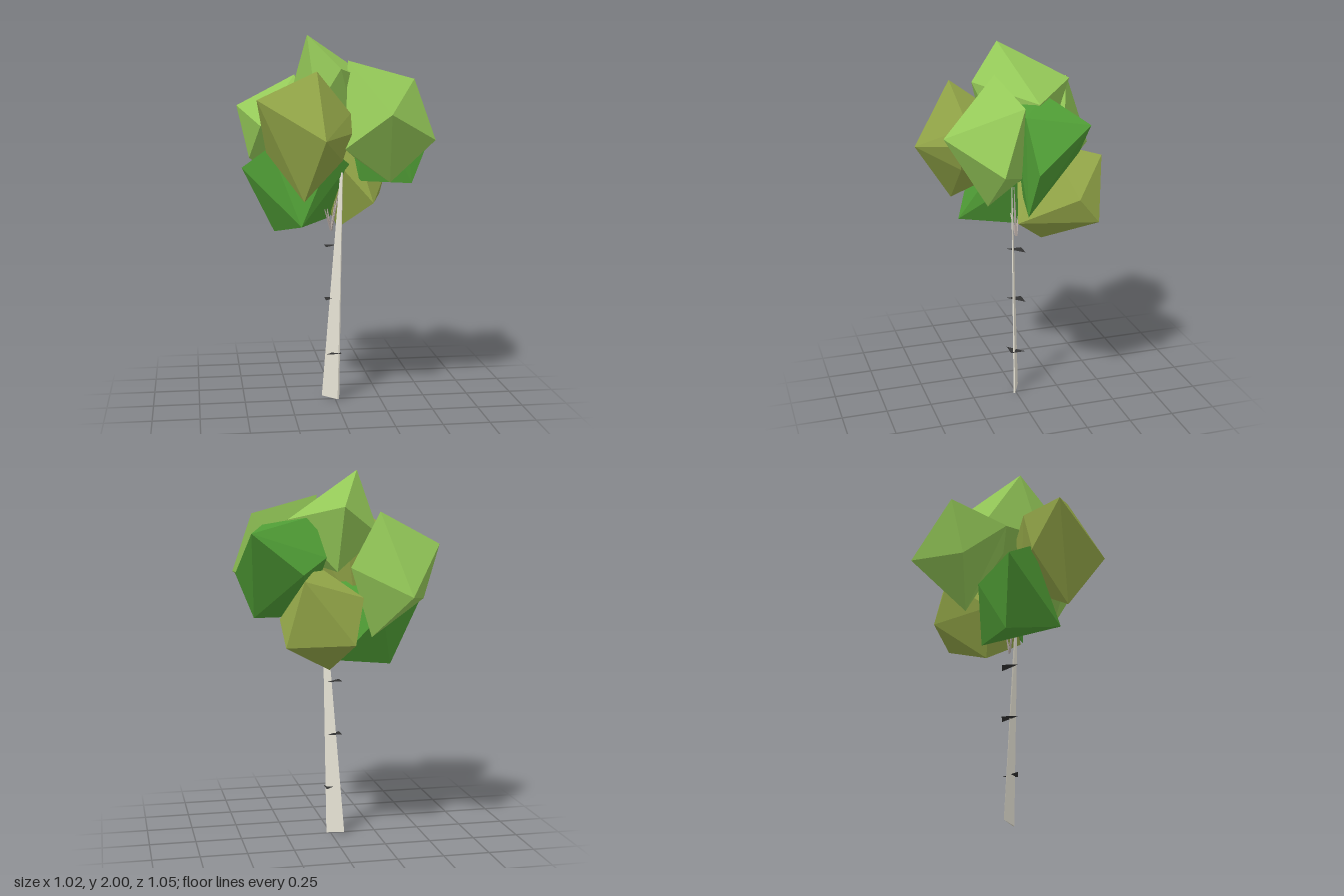
import * as THREE from 'three';
import { ConvexGeometry } from 'three/addons/geometries/ConvexGeometry.js';

const mat = (color, extra = {}) => new THREE.MeshStandardMaterial({ color, flatShading: true, ...extra });
const lime = mat(0x94c858), olive = mat(0x93a648), green = mat(0x4f9c35);
const bark = mat(0xe8e4d6), twigBark = mat(0xb8aca6);
const dark = mat(0x333333, { side: THREE.DoubleSide });

export function createModel() {
  const tree = new THREE.Group();
  tree.name = 'tree';

  const add = (name, geometry, material) => {
    const mesh = new THREE.Mesh(geometry, material);
    mesh.name = name;
    tree.add(mesh);
    return mesh;
  };
  // Faceted convex lump spanned by its corners
  const lump = (name, material, ...corners) =>
    add(name, new ConvexGeometry(corners.map((c) => new THREE.Vector3(...c))), material);

  // Leaf clumps
  lump('topLeaves', lime,
    [-0.156, 2.0, 0.056], [-0.012, 1.81, -0.3], [0.242, 1.74, -0.053], [0, 1.825, 0.238],
    [-0.234, 1.66, -0.13], [-0.117, 1.62, 0.166], [0.1, 1.5, 0.1], [0, 1.47, -0.18]);
  lump('frontLeftLeaves', lime,
    [0.23, 1.6, 0.447], [0.05, 1.867, 0.13], [0.415, 1.77, 0.08], [0.505, 1.454, 0.21],
    [0.26, 1.236, 0.23], [0.01, 1.42, 0.32], [0.1, 1.35, 0.08], [0.3, 1.38, 0.06]);
  lump('frontRightLeaves', olive,
    [-0.135, 1.814, 0.324], [-0.437, 1.67, 0.27], [-0.112, 1.475, 0.521], [-0.2, 1.15, 0.31],
    [-0.37, 1.6, 0.075], [-0.38, 1.39, 0.12], [0.045, 1.6, 0.27], [0.045, 1.5, 0.32], [0, 1.36, 0.3],
    [-0.1, 1.6, 0.03], [-0.15, 1.27, 0.06]);
  lump('leftLeaves', green,
    [0.461, 1.676, -0.245], [0.511, 1.454, 0.036], [0.41, 1.21, 0.06], [0.2, 1.464, -0.285],
    [0.36, 1.71, 0.06], [0.12, 1.76, -0.12], [0.13, 1.22, 0], [0.07, 1.55, -0.235], [0.15, 1.73, 0.07]);
  lump('backLeftLeaves', olive,
    [0.034, 0.945, -0.135], [0.204, 1.103, 0.05], [0.306, 1.103, -0.363], [-0.043, 1.114, -0.42],
    [0.217, 1.443, -0.402], [0.32, 1.24, -0.25], [-0.1, 1.35, -0.35], [-0.08, 1.2, -0.12],
    [0.1, 1.5, -0.15], [0.03, 1.3, 0]);
  lump('backRightLeaves', lime,
    [-0.314, 1.363, -0.526], [-0.185, 1.787, -0.346], [-0.514, 1.618, -0.302], [-0.4, 1.52, -0.014],
    [-0.45, 1.33, -0.24], [-0.046, 1.5, -0.29], [-0.14, 1.5, -0.04], [-0.17, 1.13, -0.24]);
  lump('lowerRightLeaves', green,
    [-0.503, 1.3, 0], [-0.33, 0.95, -0.02], [-0.21, 1.013, 0.267], [0.08, 1.31, -0.02],
    [-0.02, 1.39, 0.08], [-0.01, 1.0, -0.16], [-0.36, 1.42, 0.12], [-0.25, 1.25, -0.17]);

  // Leaning three-sided trunk, tapering upwards
  lump('trunk', bark,
    [-0.07, 0.01, -0.035], [0.022, 0, 0.01], [0.012, 0, 0.016],
    [0.024, 1.27, 0.026], [0.038, 1.27, 0.033], [0.036, 1.27, 0.036]);

  // Flat bark flakes; the lowest one points the other way
  [[0.865, 1], [0.57, 1], [0.265, -1]].forEach(([y, side], i) => {
    const shape = new THREE.Shape()
      .moveTo(-0.06, 0).lineTo(0.06, 0).lineTo(0, side * 0.06);
    const flake = add(`barkFlake${i + 1}`, new THREE.ShapeGeometry(shape).rotateX(-Math.PI / 2), dark);
    flake.rotation.y = Math.PI / 4;
    flake.position.set(-0.012, y, -0.006);
  });

  // Thin twigs fanning out below the leaves
  const root = new THREE.Vector3(-0.02, 0.95, -0.01);
  [[-0.065, 1.09, 0.015], [-0.045, 1.1, -0.035], [0, 1.12, 0.01], [0.035, 1.25, 0.02]].forEach((tip, i) => {
    const dir = new THREE.Vector3(...tip).sub(root);
    const length = dir.length();
    const twig = add(`twig${i + 1}`, new THREE.CylinderGeometry(0.002, 0.008, length, 3).translate(0, length / 2, 0), twigBark);
    twig.position.copy(root);
    twig.quaternion.setFromUnitVectors(new THREE.Vector3(0, 1, 0), dir.normalize());
  });

  return tree;
}
